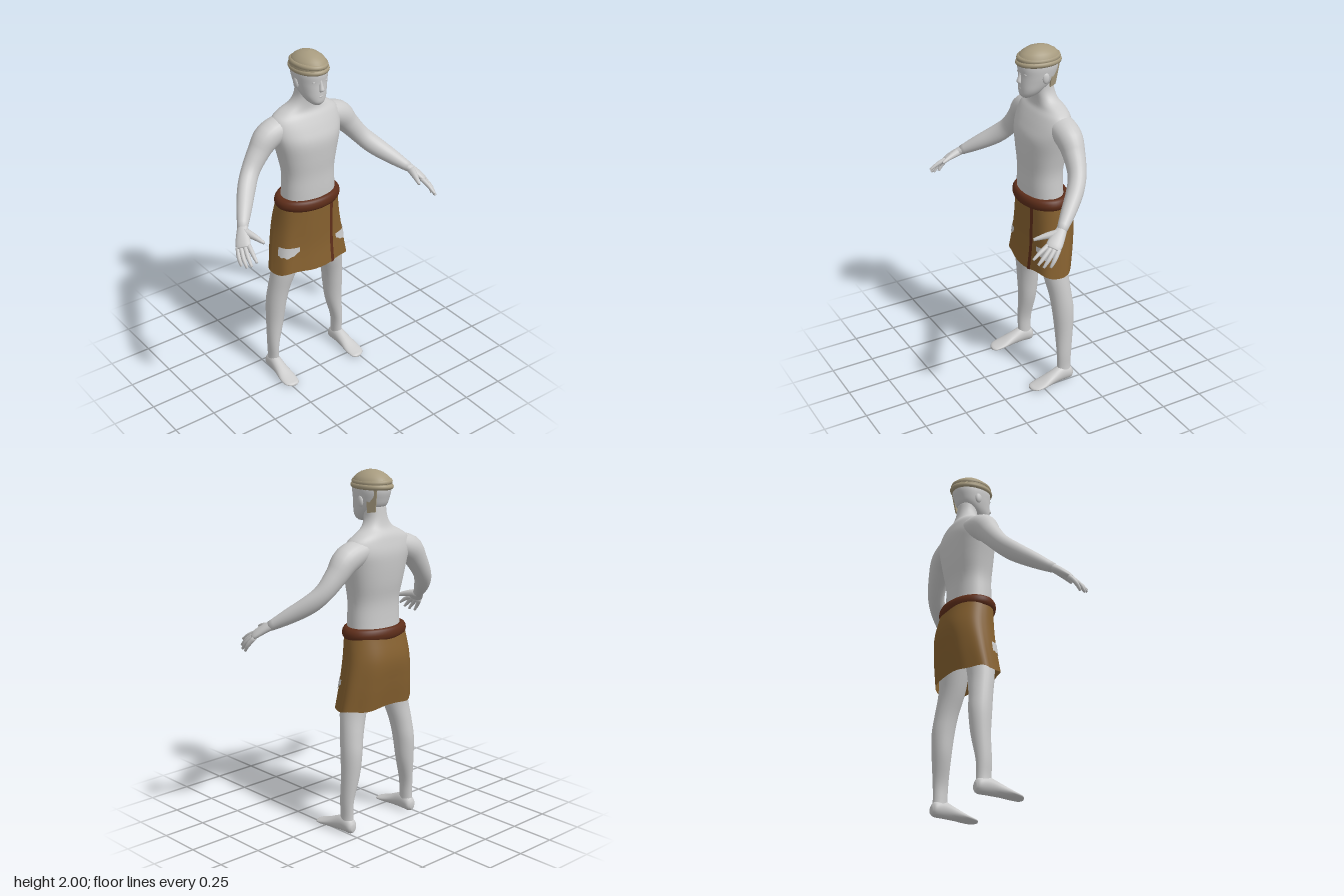
import * as THREE from 'three';
import { ParametricGeometry } from 'three/addons/geometries/ParametricGeometry.js';

const mat = (name, color) =>
  Object.assign(new THREE.MeshStandardMaterial({ color, side: THREE.DoubleSide }), { name });
const V = (x, y, z) => new THREE.Vector3(x, y, z);
const UP = V(0, 1, 0), DOWN = V(0, -1, 0), FORWARD = V(0, 0, 1);

// Smooth tube through sections [x, y, z, halfSide, halfOther]; rings lie across a fixed axis or the path
function loft(sections, { side = V(1, 0, 0), axis = null, n = 24, steps = 4, pow = 1 } = {}) {
  const path = new THREE.CatmullRomCurve3(sections.map(s => V(s[0], s[1], s[2])), false, 'catmullrom');
  const size = new THREE.CatmullRomCurve3(sections.map(s => V(s[3], s[4], 0)), false, 'catmullrom');
  const rows = (sections.length - 1) * steps, pos = [], idx = [];
  const bend = c => Math.sign(c) * Math.abs(c) ** pow;
  for (let i = 0; i <= rows; i++) {
    const p = path.getPoint(i / rows), r = size.getPoint(i / rows);
    const t = axis || path.getTangent(i / rows);
    const u = side.clone().addScaledVector(t, -side.dot(t)).normalize();
    const v = t.clone().cross(u);
    for (let j = 0; j < n; j++) {
      const a = j / n * Math.PI * 2;
      const q = p.clone().addScaledVector(u, r.x * bend(Math.cos(a))).addScaledVector(v, r.y * bend(Math.sin(a)));
      pos.push(q.x, q.y, q.z);
      if (i < rows) {
        const k = i * n + j, l = i * n + (j + 1) % n;
        idx.push(k, l, k + n, l, l + n, k + n);
      }
    }
  }
  // Closed ends
  const first = path.getPoint(0), last = path.getPoint(1), c = (rows + 1) * n;
  pos.push(first.x, first.y, first.z, last.x, last.y, last.z);
  for (let j = 0; j < n; j++) {
    const l = (j + 1) % n;
    idx.push(c, l, j, c + 1, rows * n + j, rows * n + l);
  }
  const g = new THREE.BufferGeometry();
  g.setAttribute('position', new THREE.Float32BufferAttribute(pos, 3));
  g.setIndex(idx);
  g.computeVertexNormals();
  return g;
}

// Skirt outline by height: half width, front z, back z
const outline = new THREE.CatmullRomCurve3([
  V(0.25, 0.005, -0.25), V(0.23, -0.008, -0.27), V(0.207, -0.01, -0.28), V(0.188, -0.01, -0.25),
], false, 'catmullrom');
const SQUARE = 0.8;
function skirtPoint(a, t, off, target) {
  const o = outline.getPoint(Math.min(1, Math.max(0, t)));
  const bend = c => Math.sign(c) * Math.abs(c) ** SQUARE;
  const c = bend(Math.cos(a)), s = Math.sin(a) > 0 ? Math.sin(a) : bend(Math.sin(a));
  const fold = 0.004 * (1 - t) * Math.sin(a * 7);
  const hem = (1 - t) * (0.014 * Math.abs(Math.sin(a)) + 0.006 * Math.sin(a * 5));
  target.set(c * (o.x + off + fold), 0.7 + 0.42 * t + hem,
    (o.y + o.z) / 2 - s * ((o.y - o.z) / 2 + off + fold));
}

export function createModel() {
  const model = new THREE.Group();
  const skin = mat('skin', 0xcbcbcb);
  const cloth = mat('brown cloth', 0x85602f);
  const leather = mat('dark leather', 0x5e2e1a);
  const linen = mat('cap linen', 0xa79b7f);
  const add = (name, geo, m = skin) => {
    const mesh = new THREE.Mesh(geo, m);
    mesh.name = name;
    model.add(mesh);
  };
  const ball = (name, x, y, z, rx, ry, rz) => {
    const g = new THREE.SphereGeometry(1, 16, 12);
    g.scale(rx, ry, rz);
    g.translate(x, y, z);
    add(name, g);
  };

  // Torso and neck
  add('torso', loft([
    [0, 1.08, -0.12, 0.165, 0.11], [0, 1.2, -0.115, 0.16, 0.108], [0, 1.3, -0.115, 0.158, 0.108],
    [0, 1.4, -0.12, 0.176, 0.12], [0, 1.5, -0.125, 0.2, 0.126], [0, 1.57, -0.138, 0.215, 0.114],
    [0, 1.63, -0.146, 0.203, 0.092], [0, 1.665, -0.15, 0.157, 0.075], [0, 1.7, -0.14, 0.095, 0.062],
    [0, 1.75, -0.13, 0.064, 0.058], [0, 1.82, -0.12, 0.06, 0.058],
  ], { axis: UP, n: 36, pow: 0.88 }));

  // Head and face
  add('head', loft([
    [0, 1.722, -0.032, 0.022, 0.026], [0, 1.74, -0.043, 0.045, 0.052], [0, 1.77, -0.06, 0.064, 0.072],
    [0, 1.81, -0.085, 0.077, 0.097], [0, 1.85, -0.095, 0.085, 0.106], [0, 1.9, -0.1, 0.089, 0.114],
    [0, 1.95, -0.1, 0.076, 0.098], [0, 1.98, -0.1, 0.03, 0.04],
  ], { axis: UP, n: 32, pow: 0.92 }));
  add('nose', loft([
    [0, 1.88, 0.001, 0.007, 0.008], [0, 1.84, 0.011, 0.01, 0.011],
    [0, 1.816, 0.017, 0.014, 0.013], [0, 1.805, 0.011, 0.011, 0.008],
  ], { axis: DOWN, n: 16 }));
  ball('mouth', 0, 1.777, 0.003, 0.021, 0.008, 0.011);

  for (const s of [1, -1]) {
    const label = s > 0 ? 'left' : 'right';
    const flip = rows => rows.map(([x, ...rest]) => [s * x, ...rest]);
    ball(label + 'Eye', s * 0.034, 1.86, -0.002, 0.013, 0.006, 0.008);
    ball(label + 'Ear', s * 0.083, 1.838, -0.1, 0.011, 0.031, 0.02);

    // Arm
    add(label + 'Arm', loft(flip([
      [0.1, 1.597, -0.152, 0.078, 0.062], [0.23, 1.55, -0.152, 0.074, 0.076],
      [0.3, 1.475, -0.147, 0.06, 0.062], [0.37, 1.39, -0.125, 0.049, 0.053],
      [0.43, 1.325, -0.075, 0.046, 0.053], [0.5, 1.262, 0.005, 0.04, 0.043],
      [0.565, 1.205, 0.085, 0.027, 0.027],
    ]), { side: FORWARD }));

    // Hand with spread fingers
    add(label + 'Palm', loft(flip([
      [0.553, 1.215, 0.07, 0.026, 0.026], [0.582, 1.188, 0.112, 0.036, 0.022],
      [0.606, 1.16, 0.15, 0.042, 0.018], [0.617, 1.146, 0.168, 0.035, 0.012],
    ]), { side: V(s * 0.05, -0.02, -0.05), n: 16 }));
    const slim = [0.0135, 0.012, 0.007];
    const fingers = {
      Index: [[0.588, 1.16, 0.172], [0.597, 1.135, 0.225], [0.602, 1.105, 0.272]],
      Middle: [[0.605, 1.152, 0.168], [0.62, 1.115, 0.218], [0.624, 1.08, 0.256]],
      Ring: [[0.62, 1.146, 0.155], [0.637, 1.105, 0.2], [0.638, 1.066, 0.232]],
      Little: [[0.63, 1.142, 0.138], [0.647, 1.1, 0.172], [0.648, 1.062, 0.196]],
      Thumb: [[0.568, 1.198, 0.1], [0.545, 1.188, 0.165], [0.524, 1.172, 0.226]],
    };
    for (const [f, pts] of Object.entries(fingers)) {
      const r = f === 'Thumb' ? [0.024, 0.017, 0.008] : slim;
      add(label + f, loft(flip(pts.map((p, i) => [...p, r[i], r[i]])), { n: 10, steps: 3 }));
    }

    // Leg
    add(label + 'Leg', loft(flip([
      [0.1, 0.98, -0.13, 0.09, 0.1], [0.155, 0.72, -0.125, 0.078, 0.075], [0.188, 0.57, -0.143, 0.064, 0.066],
      [0.203, 0.46, -0.155, 0.058, 0.064], [0.213, 0.33, -0.157, 0.05, 0.054],
      [0.232, 0.19, -0.15, 0.033, 0.045], [0.233, 0.1, -0.15, 0.029, 0.042], [0.234, 0.045, -0.152, 0.032, 0.044],
    ]), { axis: DOWN }));

    // Foot
    add(label + 'Foot', loft(flip([
      [0.234, 0.036, -0.205, 0.016, 0.02], [0.233, 0.044, -0.185, 0.034, 0.042],
      [0.235, 0.05, -0.13, 0.036, 0.049], [0.238, 0.036, -0.06, 0.041, 0.035],
      [0.24, 0.022, 0.0, 0.049, 0.021], [0.24, 0.014, 0.045, 0.045, 0.013],
      [0.236, 0.011, 0.065, 0.034, 0.01], [0.234, 0.009, 0.076, 0.016, 0.006],
    ]), { axis: FORWARD, n: 20 }));

    // Torn patch at the front corner of the skirt; w runs from the front to the side
    add(label + 'SkirtTear', new ParametricGeometry((w, v, p) => {
      const deg = -62 + 46 * w, a = (s > 0 ? deg : -180 - deg) * Math.PI / 180;
      const rise = s > 0 ? 0.035 : 0.006;
      const low = 0.81 + Math.max(0, 0.4 - w) * 0.08 + Math.max(0, w - 0.5) * 2 * rise + 0.003 * Math.sin(w * 22);
      skirtPoint(a, 0, 0, p);
      const hem = p.y - 0.7;
      const t = (low + (0.872 - low) * v - 0.7 - hem) / (0.42 - hem);
      skirtPoint(a, t, 0.004, p);
    }, 24, 4), skin);
  }

  // Wrapped skirt, front strip and belt
  add('skirt', new ParametricGeometry((u, v, p) => skirtPoint(u * Math.PI * 2, v, 0, p), 72, 14), cloth);
  add('skirtStrip', new ParametricGeometry((u, v, p) => {
    const x = 0.074 + 0.023 * u;
    skirtPoint(-Math.acos((x / outline.getPoint(v).x) ** (1 / SQUARE)), v, 0.006, p);
  }, 4, 14), leather);
  const belt = new THREE.TorusGeometry(0.172, 0.03, 14, 56);
  belt.rotateX(Math.PI / 2);
  belt.scale(1, 1.15, 0.705);
  belt.translate(0, 1.126, -0.122);
  add('belt', belt, leather);

  // Round cap with two wound bands
  const cap = new THREE.LatheGeometry([
    [0, 1.905], [0.085, 1.905], [0.095, 1.922], [0.089, 1.948], [0.075, 1.968], [0.052, 1.986], [0.025, 1.997], [0, 2],
  ].map(p => new THREE.Vector2(...p)), 40);
  cap.scale(1, 1, 1.3);
  cap.translate(0, 0, -0.102);
  add('cap', cap, linen);
  [[0.086, 0.014, 1.914, 0.02], [0.081, 0.014, 1.938, -0.05]].forEach(([R, r, y, tilt], i) => {
    const band = new THREE.TorusGeometry(R, r, 10, 48);
    band.rotateX(Math.PI / 2);
    band.scale(1, 1.1, 1.31);
    band.rotateZ(tilt);
    band.translate(0, y, -0.102);
    add('capBand' + (i + 1), band, linen);
  });

  // Loose cloth end hanging behind the left ear, leaning in towards the neck
  const end = new THREE.Shape([[0, 0], [0.066, 0], [0.05, -0.13], [0.004, -0.135]].map(p => new THREE.Vector2(...p)));
  const flap = new THREE.ExtrudeGeometry(end, { depth: 0.008, bevelEnabled: false });
  flap.rotateX(0.13);
  flap.rotateY(2.0);
  flap.translate(0.079, 1.912, -0.137);
  add('capTail', flap, linen);

  return model;
}
